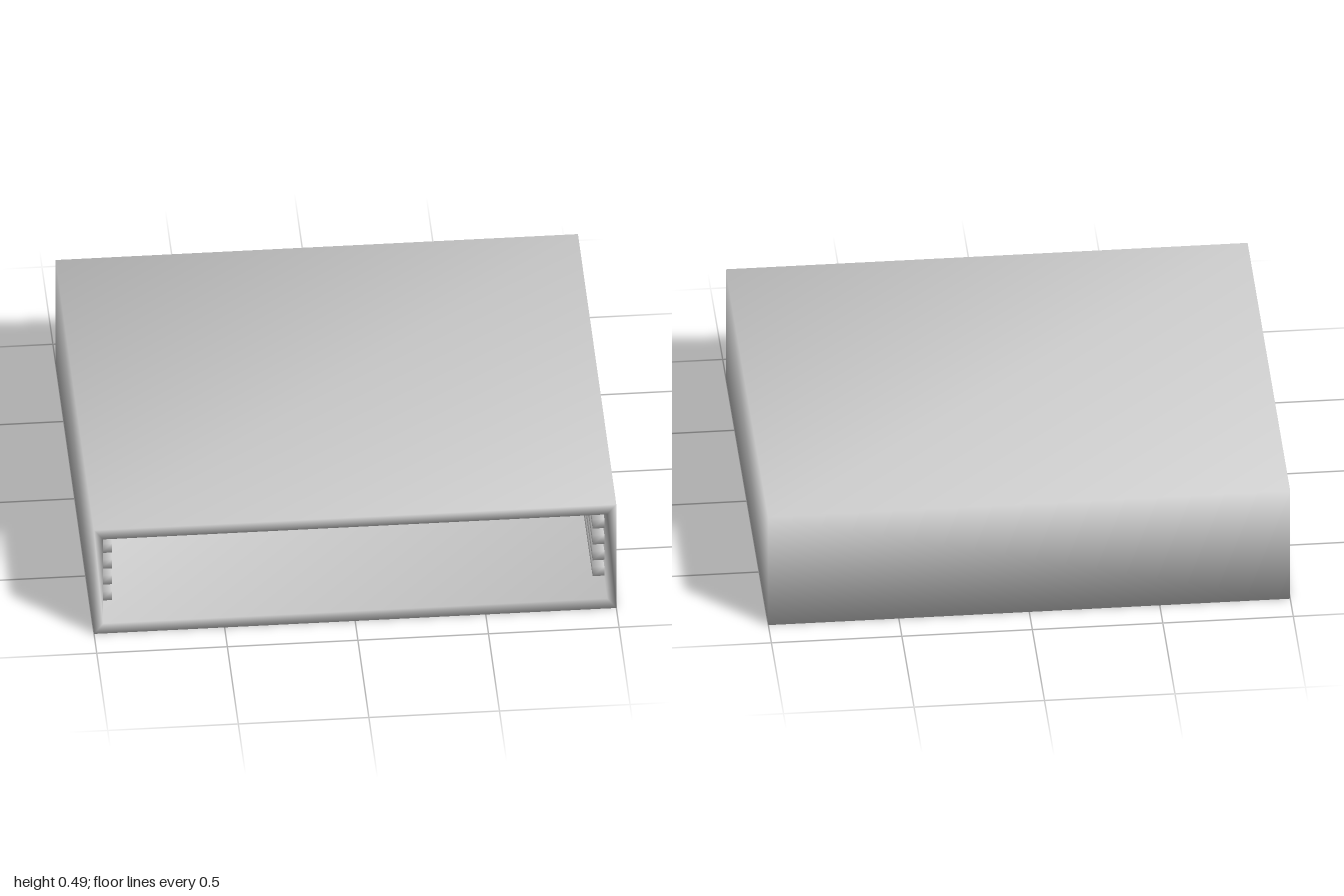
import * as THREE from 'three';
import { mergeVertices } from 'three/addons/utils/BufferGeometryUtils.js';

const material = new THREE.MeshStandardMaterial({ color: 0xcccccc });

// Rectangular rings [halfWidth, bottom, top, z], skinned in order and capped at both ends
function skinRings(rings) {
  const positions = [], index = [];
  for (const [w, y0, y1, z] of rings) {
    positions.push(-w, y0, z, w, y0, z, w, y1, z, -w, y1, z);
  }
  for (let r = 0; r < rings.length - 1; r++) {
    for (let j = 0; j < 4; j++) {
      const a = r * 4 + j, b = r * 4 + (j + 1) % 4;
      index.push(a, b, b + 4, a, b + 4, a + 4);
    }
  }
  const e = (rings.length - 1) * 4;
  index.push(0, 2, 1, 0, 3, 2, e, e + 1, e + 2, e, e + 2, e + 3);
  const geometry = new THREE.BufferGeometry();
  geometry.setAttribute('position', new THREE.Float32BufferAttribute(positions, 3));
  geometry.setIndex(index);
  geometry.computeVertexNormals();
  return geometry;
}

// Box with shared corners, so the shading runs softly over its edges
function softBox(w, h, d) {
  const box = new THREE.BoxGeometry(w, h, d);
  box.deleteAttribute('normal');
  box.deleteAttribute('uv');
  const geometry = mergeVertices(box);
  geometry.computeVertexNormals();
  return geometry;
}

export function createModel() {
  const model = new THREE.Group();
  model.name = 'openFrontCase';

  // Hollow case: outer skin back to front, front rim, then the cavity front to back
  const W = 1, H = 0.49, D = 0.875;
  const innerW = 0.965, floor = 0.047, ceiling = 0.445, backWall = -0.835;
  const shell = new THREE.Mesh(skinRings([
    [W, 0, H, -D],
    [W, 0, H, D],
    [innerW, floor, ceiling, D],
    [innerW, floor, ceiling, backWall],
  ]), material);
  shell.name = 'caseShell';
  model.add(shell);

  // Five slide rails on each inner side wall, set back from the opening
  const railFront = 0.745, railLength = railFront - backWall;
  const railGeometry = softBox(0.045, 0.043, railLength);
  for (const side of [-1, 1]) {
    const rails = new THREE.Group();
    rails.name = side > 0 ? 'leftRails' : 'rightRails';
    for (let i = 0; i < 5; i++) {
      const rail = new THREE.Mesh(railGeometry, material);
      rail.name = 'slideRail';
      rail.position.set(side * (innerW - 0.0225), 0.082 + i * 0.075, backWall + railLength / 2);
      rails.add(rail);
    }
    model.add(rails);
  }
  return model;
}
